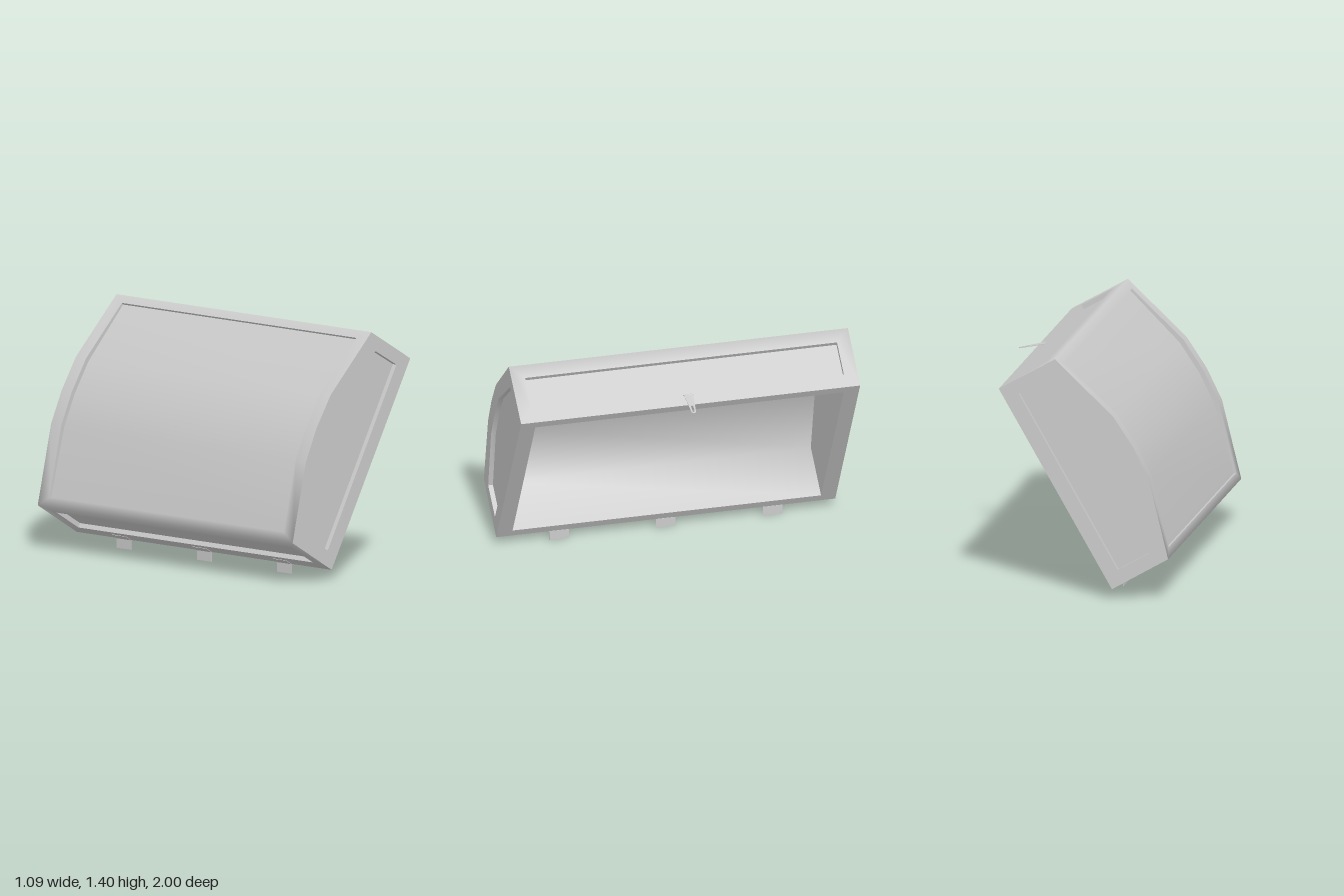
import * as THREE from 'three';
import { toCreasedNormals } from 'three/addons/utils/BufferGeometryUtils.js';

// Lid cross-section, anticlockwise from the lower rim corner; its first edge is the open mouth
const OUTLINE = [[-0.217, 0.058], [0.45, 1.213], [0.12, 1.405], [-0.225, 1.08],
  [-0.345, 0.9], [-0.435, 0.715], [-0.548, 0.253]];
// Outline of the sunken panel in each end wall
const END_PANEL = [[-0.25, 0.175], [0.333, 1.19], [0.155, 1.29], [-0.15, 1.03],
  [-0.26, 0.86], [-0.355, 0.67], [-0.432, 0.28]];
const DEPTH = 0.028; // recess depth

const normal = (a, b) => {
  const l = Math.hypot(b[0] - a[0], b[1] - a[1]);
  return [(b[1] - a[1]) / l, (a[0] - b[0]) / l];
};

// Shrink a convex outline, each edge by its own distance
function inset(poly, dist) {
  const n = poly.length;
  return poly.map((p, i) => {
    const h = (i + n - 1) % n;
    const a = normal(poly[h], p), b = normal(p, poly[(i + 1) % n]);
    const det = a[0] * b[1] - a[1] * b[0];
    return [p[0] - (dist[h] * b[1] - dist[i] * a[1]) / det,
      p[1] - (a[0] * dist[i] - b[0] * dist[h]) / det];
  });
}

const at = (pts, z) => pts.map(([x, y]) => [x, y, z]);
const wrap = (path, z) => [...at(path, -z), ...at([...path].reverse(), z)];

// Collects faces; every loop runs anticlockwise as seen from its visible side
class Faces {
  constructor() { this.v = []; }
  quad(a, b, c, d) { this.v.push(...a, ...b, ...c, ...a, ...c, ...d); }
  bridge(a, b) {
    a.forEach((p, i) => {
      const j = (i + 1) % a.length;
      this.quad(p, a[j], b[j], b[i]);
    });
  }
  fan(l) {
    for (let i = 1; i < l.length - 1; i++) this.v.push(...l[0], ...l[i], ...l[i + 1]);
  }
  sheet(l) {
    const n = l.length;
    for (let i = 0; i < n / 2 - 1; i++) this.quad(l[i], l[i + 1], l[n - 2 - i], l[n - 1 - i]);
  }
  mesh(name, material, crease) {
    const g = new THREE.BufferGeometry();
    g.setAttribute('position', new THREE.Float32BufferAttribute(this.v, 3));
    const m = new THREE.Mesh(toCreasedNormals(g, crease), material);
    m.name = name;
    return m;
  }
}

// Move a towards b by d
const slide = (a, b, d) => {
  const t = d / Math.hypot(b[0] - a[0], b[1] - a[1]);
  return [a[0] + (b[0] - a[0]) * t, a[1] + (b[1] - a[1]) * t];
};

// Framed wall running along part of the outline, with a sunken panel
function addWall(f, indices, margin, endDepth) {
  const sunk = inset(OUTLINE, OUTLINE.map(() => DEPTH));
  const path = indices.map(i => OUTLINE[i]), n = path.length;
  const edge = path.map((p, i) => i === 0 ? slide(p, path[1], margin)
    : i === n - 1 ? slide(p, path[n - 2], margin) : p);
  const floor = edge.map((p, i) => {
    if (i > 0 && i < n - 1) return sunk[indices[i]];
    const k = i === 0 ? 0 : n - 2, m = normal(path[k], path[k + 1]);
    return [p[0] - m[0] * endDepth, p[1] - m[1] * endDepth];
  });
  f.bridge(wrap(path, 1), wrap(edge, 0.92));
  f.bridge(wrap(edge, 0.92), wrap(floor, 0.92));
  f.sheet(wrap(floor, 0.92));
}

// End wall with a sunken panel
function endWall(side) {
  const f = new Faces();
  const loop = (pts, z) => side > 0 ? at(pts, z) : at(pts, -z).reverse();
  f.bridge(loop(OUTLINE, 1), loop(END_PANEL, 1));
  f.bridge(loop(END_PANEL, 1), loop(END_PANEL, 1 - DEPTH));
  f.fan(loop(END_PANEL, 1 - DEPTH));
  return f;
}

export function createModel() {
  const model = new THREE.Group();
  model.name = 'chestLid';
  const grey = new THREE.MeshStandardMaterial({ color: 0xcccccc });

  // Outer walls: front, curved top and hinge wall, shaded smoothly over their shared edges
  const walls = new Faces();
  addWall(walls, [1, 2], 0.085, DEPTH);
  addWall(walls, [2, 3, 4, 5, 6], 0.055, 0.014);
  addWall(walls, [6, 0], 0.085, DEPTH);
  model.add(walls.mesh('outerWalls', grey, 1.33));
  model.add(endWall(1).mesh('leftEndWall', grey, 0.5));
  model.add(endWall(-1).mesh('rightEndWall', grey, 0.5));

  // Rim around the mouth and the smooth hollow inside
  const hollow = inset(OUTLINE, [0, 0.058, 0.08, 0.08, 0.08, 0.08, 0.058]);
  const rim = new Faces();
  rim.bridge(wrap(OUTLINE.slice(0, 2), 1), wrap(hollow.slice(0, 2), 0.91));
  model.add(rim.mesh('rim', grey, 0.5));
  const lining = new Faces();
  lining.sheet(wrap([hollow[0], ...hollow.slice(1).reverse()], 0.91));
  model.add(lining.mesh('lining', grey, 1.5));
  const liningEnds = new Faces();
  liningEnds.fan(at(hollow, -0.91));
  liningEnds.fan(at(hollow, 0.91).reverse());
  model.add(liningEnds.mesh('liningEnds', grey, 0.5));

  // Hinges: a leaf on the hinge wall and a leaf hanging down
  for (const z of [-0.63, 0, 0.63]) {
    const hinge = new THREE.Group();
    hinge.name = 'hinge';
    const hanging = new THREE.Mesh(new THREE.BoxGeometry(0.002, 0.058, 0.115), grey);
    hanging.position.set(-0.216, 0.029, z);
    hanging.name = 'hangingLeaf';
    const fixed = new THREE.Mesh(new THREE.BoxGeometry(0.05, 0.003, 0.115), grey);
    fixed.position.set(-0.239, 0.07, z);
    fixed.rotation.z = Math.atan2(-0.195, 0.331);
    fixed.name = 'fixedLeaf';
    hinge.add(hanging, fixed);
    model.add(hinge);
  }

  // Tapered hasp with a rounded tip and a slot, hung on a small knuckle
  const plate = new THREE.Shape();
  plate.moveTo(0, -0.027);
  plate.lineTo(0.142, -0.014);
  plate.absarc(0.142, 0, 0.014, -Math.PI / 2, Math.PI / 2, false);
  plate.lineTo(0, 0.027);
  const slot = new THREE.Path();
  slot.absarc(0.14, 0, 0.006, -Math.PI / 2, Math.PI / 2, false);
  slot.absarc(0.1, 0, 0.006, Math.PI / 2, Math.PI * 1.5, false);
  plate.holes.push(slot);
  const haspShape = new THREE.ExtrudeGeometry(plate, { depth: 0.003, bevelEnabled: false, curveSegments: 8 });
  haspShape.rotateX(Math.PI / 2).rotateZ(-0.23).translate(0.393, 1.25, 0);
  const hasp = new THREE.Mesh(haspShape, grey);
  hasp.name = 'hasp';
  const knuckle = new THREE.Mesh(new THREE.CylinderGeometry(0.004, 0.004, 0.064, 8), grey);
  knuckle.rotation.x = Math.PI / 2;
  knuckle.position.set(0.392, 1.248, 0);
  knuckle.name = 'haspKnuckle';
  model.add(hasp, knuckle);

  return model;
}
